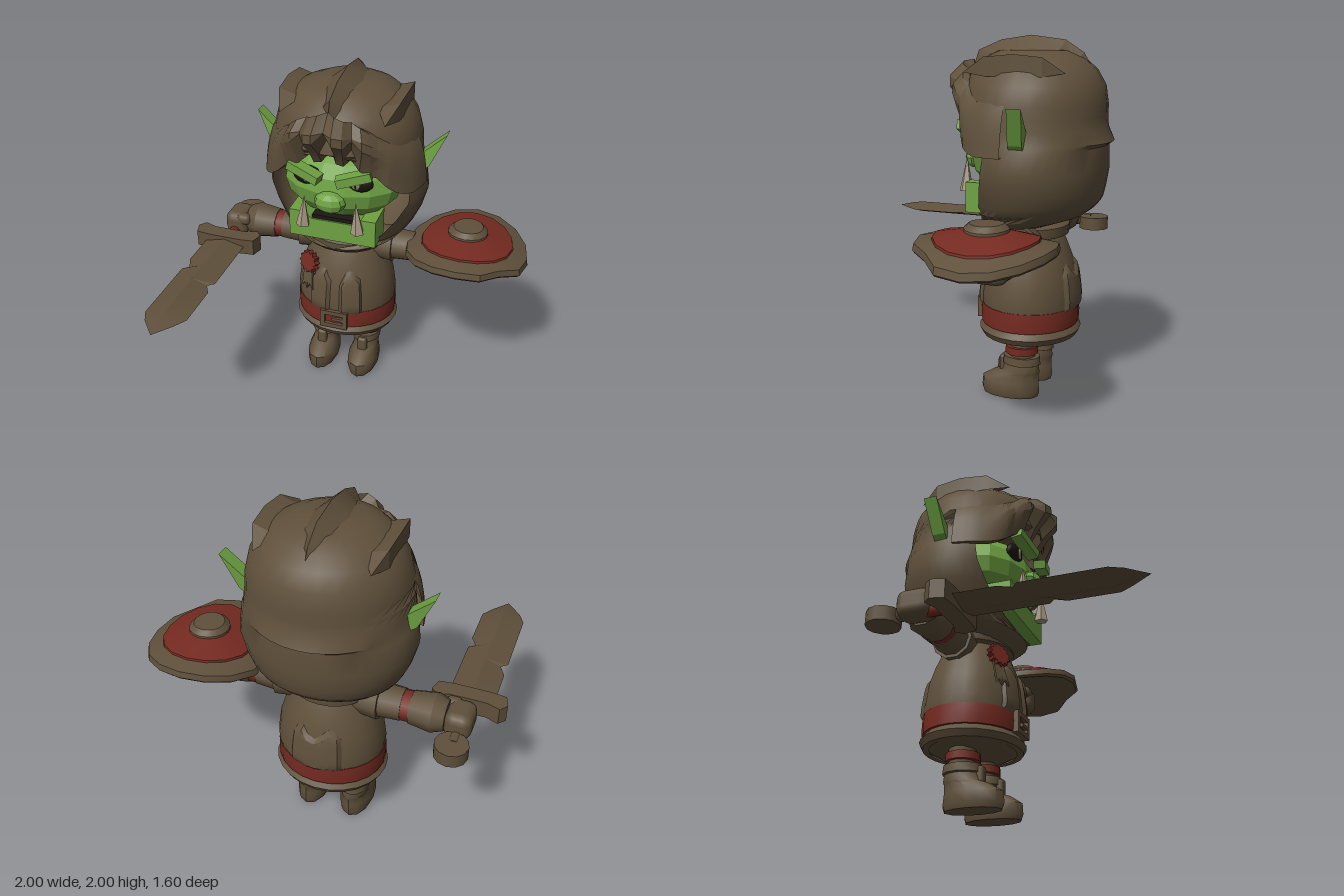
import * as THREE from 'three';
import { toCreasedNormals } from 'three/addons/utils/BufferGeometryUtils.js';
import { RoundedBoxGeometry } from 'three/addons/geometries/RoundedBoxGeometry.js';

const CZ = -0.36; // depth of the body axis
const DEG = Math.PI / 180;

function mat(name, color) {
  const m = new THREE.MeshStandardMaterial({ color, side: THREE.DoubleSide });
  m.name = name;
  return m;
}

// Surface through equal-length rows of [x, y, z]
function loft(rows, crease = 0.6) {
  const n = rows[0].length, idx = [];
  for (let i = 0; i < rows.length - 1; i++) for (let j = 0; j < n - 1; j++) {
    const a = i * n + j, c = a + n;
    idx.push(a, a + 1, c + 1, a, c + 1, c);
  }
  const g = new THREE.BufferGeometry();
  g.setAttribute('position', new THREE.Float32BufferAttribute(rows.flat(2), 3));
  g.setIndex(idx);
  return toCreasedNormals(g, crease);
}

// Stacked ellipses [y, rx, rz, cz]
function rings(list, seg = 16, crease = 0.6) {
  return loft(list.map(([y, rx, rz, cz = CZ]) => Array.from({ length: seg + 1 }, (_, j) => {
    const p = j / seg * Math.PI * 2;
    return [rx * Math.sin(p), y, cz + rz * Math.cos(p)];
  })), crease);
}

function flat(g) {
  const f = g.index ? g.toNonIndexed() : g;
  f.computeVertexNormals();
  return f;
}

function plate(points, depth, holes = []) {
  const s = new THREE.Shape(points.map(p => new THREE.Vector2(...p)));
  holes.forEach(h => s.holes.push(new THREE.Path(h.map(p => new THREE.Vector2(...p)))));
  return new THREE.ExtrudeGeometry(s, { depth, bevelEnabled: false });
}

const { lerp, smoothstep } = THREE.MathUtils;

export function createModel() {
  const brown = mat('brown cloth', 0x5f503b), green = mat('green skin', 0x6fa243),
    red = mat('dark red', 0x752a21), bone = mat('tusk bone', 0xa89983),
    black = mat('black', 0x1b1712), pale = mat('pale eye', 0x9c9478);
  const model = new THREE.Group();
  const root = new THREE.Group();
  root.name = 'figure';
  root.position.x = -0.08;
  model.add(root);
  const add = (parent, name, g, m, x = 0, y = 0, z = 0) => {
    const mesh = new THREE.Mesh(g, m);
    mesh.name = name;
    mesh.position.set(x, y, z);
    parent.add(mesh);
    return mesh;
  };

  // Torso, skirt hem and belt
  const torso = [[0.315, 0.01], [0.325, 0.2], [0.36, 0.27], [0.45, 0.3], [0.58, 0.305], [0.7, 0.288],
    [0.8, 0.255], [0.88, 0.22], [0.915, 0.2], [0.925, 0.23], [0.98, 0.235], [1.0, 0.2]];
  const Q = 0.89;
  const radiusAt = y => {
    const i = Math.max(1, torso.findIndex(p => p[0] >= y));
    const [a, b] = [torso[i - 1], torso[i]];
    return lerp(a[1], b[1], (y - a[0]) / (b[0] - a[0]));
  };
  const band = list => rings(list.map(([y, r]) => [y, r, r * Q]), 24);
  add(root, 'torso', band(torso), brown);
  add(root, 'skirtHem', band([[0.35, 0.26], [0.35, 0.3], [0.385, 0.32], [0.42, 0.29]]), brown);
  add(root, 'belt', band([[0.42, 0.29], [0.42, 0.306], [0.475, 0.309], [0.53, 0.306], [0.53, 0.29]]), red);

  // Raised coat panels hugging the torso
  function panel(name, a0, a1, y0, tops) {
    const n = tops.length - 1, rows = [];
    for (let i = 0; i <= 7; i++) rows.push(tops.map((top, j) => {
      const a = lerp(a0, a1, j / n) * DEG, y = lerp(y0, top, i / 7);
      const r = radiusAt(y) + (i === 0 || i === 7 || j === 0 || j === n ? -0.01 : 0.018);
      return [r * Math.sin(a), y, CZ + r * Q * Math.cos(a)];
    }));
    add(root, name, loft(rows), brown);
  }
  panel('coatPanelRight', -34, -4, 0.5, [0.76, 0.78, 0.81, 0.82, 0.81, 0.76, 0.74]);
  panel('coatPanelLeft', 4, 34, 0.5, [0.74, 0.76, 0.81, 0.82, 0.81, 0.78, 0.76]);
  panel('backPanel', 148, 212, 0.5, [0.74, 0.77, 0.79, 0.74, 0.73, 0.76, 0.8, 0.78, 0.73]);

  // Buckle, standing just proud of the belt
  const rect = (w, h) => [[-w, -h], [w, -h], [w, h], [-w, h]];
  add(root, 'buckleFrame', plate(rect(0.085, 0.06), 0.045, [rect(0.056, 0.032)]), brown, 0, 0.475, -0.115);
  add(root, 'bucklePin', new THREE.BoxGeometry(0.07, 0.02, 0.03), brown, 0.025, 0.475, -0.088);

  // Rosette with two ribbon tails
  const star = Array.from({ length: 24 }, (_, i) => {
    const r = i % 2 ? 0.054 : 0.07, a = i * Math.PI / 12;
    return [r * Math.cos(a), r * Math.sin(a)];
  });
  const badge = new THREE.Group();
  badge.name = 'rosette';
  badge.position.set(-0.165, 0.815, -0.175);
  badge.rotation.set(-0.25, -0.45, 0);
  root.add(badge);
  add(badge, 'rosetteDisc', plate(star, 0.035), red, 0, 0, 0.005);
  for (const s of [-1, 1]) add(badge, 'ribbonTail',
    plate([[-0.018, 0], [0.018, 0], [0.02, -0.15], [0, -0.115], [-0.02, -0.14]], 0.012), brown, s * 0.014 - 0.01, -0.03, 0.008).rotation.z = s * 0.06;

  // Hood shell [y, rx, rz, cz, half angle of the face opening]
  const hood = [[0.965, 0.16, 0.16, -0.38, 0], [0.975, 0.21, 0.21, -0.38, 0], [1.0, 0.29, 0.27, -0.39, 0], [1.04, 0.345, 0.315, -0.395, 0],
    [1.08, 0.38, 0.335, -0.4, 32], [1.12, 0.405, 0.347, -0.4, 42], [1.2, 0.44, 0.365, -0.395, 52], [1.3, 0.466, 0.385, -0.39, 60],
    [1.43, 0.45, 0.385, -0.385, 64], [1.45, 0.44, 0.385, -0.38, 62], [1.52, 0.43, 0.39, -0.375, 56],
    [1.58, 0.425, 0.39, -0.37, 35], [1.64, 0.42, 0.39, -0.37, 0], [1.74, 0.393, 0.375, -0.37, 0],
    [1.82, 0.345, 0.335, -0.365, 0], [1.88, 0.275, 0.275, -0.36, 0], [1.92, 0.18, 0.19, -0.36, 0], [1.935, 0.001, 0.001, -0.36, 0]];
  const H = 28;
  add(root, 'hood', loft(hood.map(([y, rx, rz, cz, open]) => Array.from({ length: H + 1 }, (_, j) => {
    const p = (open + j / H * (360 - 2 * open)) * DEG;
    const lip = y === 1.45 ? 1 + 0.09 * Math.max(0, -Math.cos(p)) ** 4 : 1; // overlapping fold at the back
    const dip = 0.05 * Math.cos(p) * (1 - smoothstep(y, 1.03, 1.2)); // chin hangs lower than the nape
    return [rx * lip * Math.sin(p), y - dip, cz + rz * lip * Math.cos(p)];
  })), 0.7), brown);

  // Fringe: notched forelock at the brow, smooth flaps down to the cheeks: [radius, y]
  const mid = [[0.34, 1.81], [0.4, 1.87], [0.485, 1.79], [0.485, 1.74], [0.395, 1.65], [0.35, 1.58], [0.29, 1.6]];
  const fore = [[0.36, 1.79], [0.395, 1.79], [0.44, 1.74], [0.445, 1.69], [0.425, 1.62], [0.4, 1.55], [0.33, 1.58]];
  const temple = [[0.41, 1.66], [0.432, 1.62], [0.45, 1.56], [0.46, 1.51], [0.468, 1.45], [0.474, 1.39], [0.43, 1.4]];
  const fringe = mid.map((_, k) => Array.from({ length: 27 }, (_, j) => {
    const d = j - 13, deg = d * 6.5, bump = Math.exp(-((deg / 21) ** 2));
    const s = smoothstep(Math.abs(deg), 22, 64);
    const notch = d % 3 === 0 && k > 0 && k < 6 ? Math.exp(-((deg / 36) ** 2)) : 0;
    const r = lerp(lerp(fore[k][0], temple[k][0], s), mid[k][0], bump) - 0.045 * notch;
    const y = lerp(lerp(fore[k][1], temple[k][1], s), mid[k][1], bump) + (k > 2 ? 0.05 * notch : 0);
    return [r * Math.sin(deg * DEG), y, -0.37 + r * Math.cos(deg * DEG)];
  })).reverse();
  add(root, 'fringe', loft(fringe, 0.4), brown);

  // Crests on top of the hood: ridge points [z, y, half width]
  const ridge = [[0.0, 1.8, 0.02], [-0.04, 1.92, 0.06], [-0.17, 1.975, 0.09], [-0.34, 2.0, 0.095],
    [-0.53, 1.975, 0.09], [-0.63, 1.91, 0.07], [-0.72, 1.76, 0.04], [-0.75, 1.66, 0.01]];
  add(root, 'centreCrest', loft(ridge.map(([z, y, w]) => {
    const k = 0.86, by = 1.45 + (y - 1.45) * k, bz = CZ + (z - CZ) * k;
    return [[-w, by, bz], [0, y, z], [w, by, bz]];
  }), 0.4), brown);
  const sideRidge = [[-0.06, 0], [-0.19, 0.85], [-0.35, 1], [-0.5, 0.85], [-0.61, 0]];

  // Face
  const face = add(root, 'face', flat(new THREE.SphereGeometry(1, 14, 8)), green, 0, 1.37, -0.27);
  face.scale.set(0.345, 0.22, 0.24);
  add(root, 'jaw', plate([[-0.255, 1.06], [0.255, 1.06], [0.255, 1.225], [0.17, 1.225], [0.12, 1.185],
    [-0.12, 1.185], [-0.17, 1.225], [-0.255, 1.225]], 0.18), green, 0, 0, -0.24);
  add(root, 'mouth', new THREE.BoxGeometry(0.24, 0.035, 0.06), black, 0, 1.19, -0.1);
  add(root, 'nose', flat(new THREE.SphereGeometry(1, 10, 6)), green, 0, 1.33, -0.03).scale.set(0.092, 0.064, 0.06);

  // Boot profile
  const boot = rings([[0, 0.001, 0.001, -0.29], [0, 0.085, 0.16, -0.29], [0.03, 0.096, 0.17, -0.29], [0.09, 0.095, 0.165, -0.29],
    [0.135, 0.078, 0.13, -0.325], [0.15, 0.08, 0.11, -0.35], [0.19, 0.075, 0.1, -0.355], [0.195, 0.088, 0.11, -0.355],
    [0.24, 0.085, 0.105, -0.355], [0.24, 0.05, 0.06, -0.355]], 12, 0.8);
  const tube = (r0, r1, x0, x1) => new THREE.CylinderGeometry(r1, r0, x1 - x0, 10).rotateZ(-Math.PI / 2).translate((x0 + x1) / 2, 0, 0);

  // Ear blade, leaning back
  const ear = plate([[0.4, 1.4], [0.47, 1.46], [0.557, 1.65], [0.4, 1.51]], 0.075);
  ear.applyMatrix4(new THREE.Matrix4().set(1, 0, 0, 0, 0, 1, 0, 0, 0, -0.11, 1, 0.154, 0, 0, 0, 1));

  for (const s of [1, -1]) {
    const side = new THREE.Group();
    side.name = s > 0 ? 'leftSide' : 'rightSide';
    side.scale.x = s;
    root.add(side);
    add(side, 'hoodCrest', loft(sideRidge.map(([z, h]) => [
      [lerp(0.29, 0.2, h), lerp(1.81, 1.86, h), z], [lerp(0.29, 0.345, h), lerp(1.81, 1.905, h), z], [lerp(0.29, 0.345, h), lerp(1.81, 1.79, h), z]]), 0.3), brown);
    add(side, 'ear', ear, green, 0, 0, -0.435);
    // Eye, brow and tusk
    add(side, 'eyeSocket', new THREE.SphereGeometry(1, 14, 8), black, 0.145, 1.45, -0.085).scale.set(0.088, 0.058, 0.035);
    add(side, 'iris', new THREE.SphereGeometry(1, 12, 8), pale, 0.14, 1.45, -0.055).scale.set(0.026, 0.032, 0.012);
    add(side, 'pupil', new THREE.SphereGeometry(1, 8, 6), black, 0.14, 1.45, -0.045).scale.set(0.007, 0.022, 0.006);
    add(side, 'brow', flat(new THREE.BoxGeometry(0.195, 0.05, 0.07)), green, 0.14, 1.505, -0.02).rotation.set(0, 0.2, 0.29);
    const tusk = add(side, 'tusk', flat(new THREE.ConeGeometry(0.04, 0.19, 5)), bone, 0.155, 1.255, -0.03);
    tusk.rotation.z = 0.06;
    // Arm
    const arm = new THREE.Group();
    arm.name = 'arm';
    arm.position.set(0, 0.905, -0.38);
    side.add(arm);
    add(arm, 'shoulder', tube(0.1, 0.115, 0.16, 0.29), brown);
    add(arm, 'sleeve', tube(0.098, 0.09, 0.27, 0.41), brown);
    add(arm, 'armBand', tube(0.086, 0.086, 0.405, 0.46), red);
    add(arm, 'forearm', tube(0.092, 0.11, 0.455, 0.58), brown);
    add(arm, 'cuff', tube(0.11, 0.085, 0.58, 0.645), brown);
    add(arm, 'fist', new RoundedBoxGeometry(0.15, 0.15, 0.19, 2, 0.05), brown, 0.71, -0.01, 0.01);
    add(arm, 'thumb', new RoundedBoxGeometry(0.09, 0.07, 0.07, 2, 0.03), brown, 0.66, 0.03, 0.07);
    // Leg
    const leg = new THREE.Group();
    leg.name = 'leg';
    leg.position.x = 0.135;
    side.add(leg);
    add(leg, 'shin', new THREE.CylinderGeometry(0.078, 0.07, 0.2, 12), brown, 0, 0.3, CZ);
    add(leg, 'legBand', new THREE.CylinderGeometry(0.093, 0.093, 0.042, 12), red, 0, 0.28, -0.355);
    add(leg, 'boot', boot, brown);
    add(leg, 'bootTongue', new RoundedBoxGeometry(0.06, 0.1, 0.05, 1, 0.015), brown, 0, 0.18, -0.255);
  }

  // Sword held forward in the right hand
  const sword = new THREE.Group();
  sword.name = 'sword';
  sword.position.set(-0.715, 0.855, 0);
  root.add(sword);
  const edge = [[-0.14, -0.125, 0.125], [0.1, -0.125, 0.125], [0.17, -0.09, 0.125], [0.2, -0.125, 0.125], [0.28, -0.125, 0.125],
    [0.31, -0.125, 0.09], [0.37, -0.125, 0.125], [0.63, -0.125, 0.125], [0.7, -0.09, 0.08], [0.8, 0, 0]];
  add(sword, 'blade', loft(edge.map(([z, l, r]) => {
    const h = z > 0.75 ? 0 : z > 0.65 ? 0.024 : 0.033;
    return [[l, 0, z], [0, h, z], [r, 0, z], [0, -h, z], [l, 0, z]];
  }).reverse(), 0.2), brown);
  add(sword, 'guard', plate([[-0.17, -0.24], [-0.1, -0.215], [0.1, -0.215], [0.17, -0.24], [0.205, -0.2], [0.185, -0.13],
    [0.1, -0.12], [-0.1, -0.12], [-0.185, -0.13], [-0.205, -0.2]], 0.1).rotateX(Math.PI / 2), brown, 0, 0.05, 0);
  add(sword, 'grip', new THREE.CylinderGeometry(0.034, 0.034, 0.14, 10).rotateX(Math.PI / 2), red, 0, 0, -0.26);
  add(sword, 'gripEnd', new THREE.CylinderGeometry(0.034, 0.034, 0.14, 10).rotateX(Math.PI / 2), brown, 0, 0, -0.46);
  add(sword, 'pommel', new THREE.CylinderGeometry(0.09, 0.09, 0.075, 12), brown, 0, -0.01, -0.55);

  // Round shield bent across its width, with a chipped rim: [radius, y]
  const shield = new THREE.Group();
  shield.name = 'shield';
  shield.position.set(0.725, 0, -0.355);
  root.add(shield);
  const disc = list => loft(list.map(([r, h]) => Array.from({ length: 17 }, (_, j) => {
    const a = j / 16 * Math.PI * 2, k = r > 0.3 && j === 2 ? r * 0.9 : r;
    const x = k * Math.sin(a);
    return [x, h - 0.55 * x * x, k * Math.cos(a)];
  })), 0.5);
  add(shield, 'shieldRim', disc([[0.001, 1.0], [0.2, 0.995], [0.345, 0.985], [0.357, 1.0], [0.35, 1.035], [0.265, 1.05]]), brown);
  add(shield, 'shieldFace', disc([[0.268, 1.03], [0.262, 1.062], [0.1, 1.09]]), red);
  add(shield, 'shieldBoss', disc([[0.115, 1.07], [0.113, 1.1], [0.085, 1.125], [0.001, 1.128]]), brown);
  return model;
}
